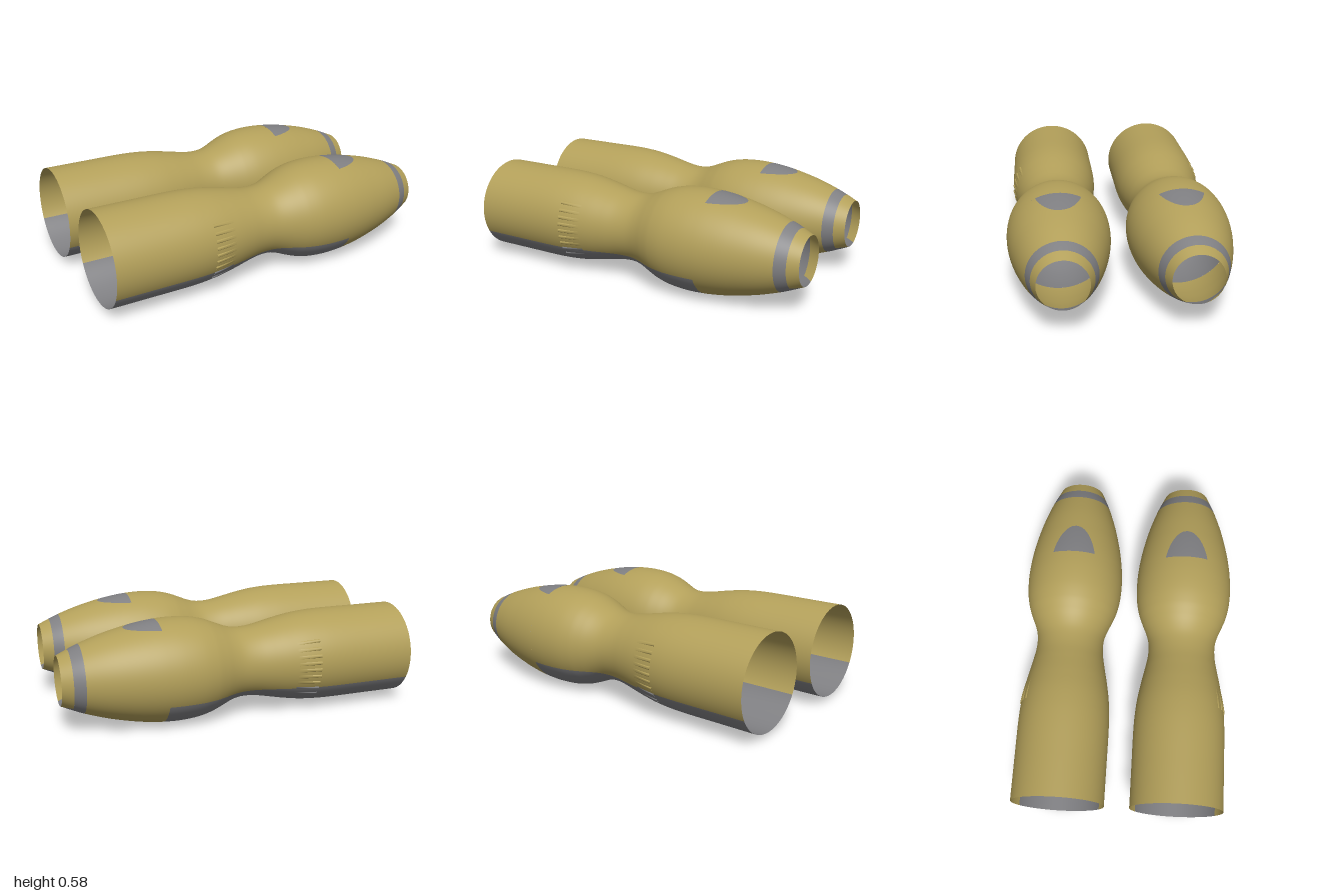
import * as THREE from 'three';

const CY = 0.295, CZ = 0.338;      // axis height and sideways offset of each shell
const BELLY = 0.13, CROWN = 0.258; // distances of the flat paint cuts from the axis

// Profile: [x, radius]
const PROFILE = [
  [-1, 0.266], [-0.75, 0.266], [-0.57, 0.266], [-0.47, 0.263], [-0.37, 0.254],
  [-0.27, 0.237], [-0.17, 0.216], [-0.1, 0.203], [-0.04, 0.199], [0.01, 0.203],
  [0.06, 0.217], [0.12, 0.242], [0.18, 0.265], [0.26, 0.283], [0.36, 0.29],
  [0.46, 0.286], [0.55, 0.275], [0.64, 0.258], [0.76, 0.228], [0.88, 0.188],
  [0.94, 0.163], [1, 0.136],
];

const slope = (i) => {
  const a = PROFILE[Math.max(0, i - 1)], b = PROFILE[Math.min(PROFILE.length - 1, i + 1)];
  return (b[1] - a[1]) / (b[0] - a[0]);
};

// Smooth radius along the axis (cubic Hermite)
function radius(x) {
  let i = 0;
  while (i < PROFILE.length - 2 && x > PROFILE[i + 1][0]) i++;
  const [x0, r0] = PROFILE[i], [x1, r1] = PROFILE[i + 1];
  const d = x1 - x0, t = (x - x0) / d, s = 1 - t;
  return r0 * (1 + 2 * t) * s * s + slope(i) * d * t * s * s
    + r1 * t * t * (3 - 2 * t) - slope(i + 1) * d * t * t * s;
}

// Angle, measured from straight up or down, at which a flat cut meets the shell
const cutAngle = (x, cut) => Math.acos(Math.min(1, cut / radius(x)));

// Patch of the shell between two x values and two angles (0 is up, PI / 2 is +z)
function patch(x0, x1, from, to, nx, nt, lift) {
  const pos = [], nor = [], idx = [];
  for (let i = 0; i <= nx; i++) {
    const x = x0 + (x1 - x0) * i / nx;
    const dr = (radius(Math.min(1, x + 0.002)) - radius(Math.max(-1, x - 0.002)))
      / (Math.min(1, x + 0.002) - Math.max(-1, x - 0.002));
    const k = Math.hypot(1, dr);
    for (let j = 0; j <= nt; j++) {
      const a = from(x) + (to(x) - from(x)) * j / nt;
      const r = radius(x) + (lift ? lift(i / nx, j / nt) : 0);
      pos.push(x, r * Math.cos(a), r * Math.sin(a));
      nor.push(-dr / k, Math.cos(a) / k, Math.sin(a) / k);
      if (i < nx && j < nt) {
        const p = i * (nt + 1) + j, q = p + nt + 1;
        idx.push(p, p + 1, q, p + 1, q + 1, q);
      }
    }
  }
  const g = new THREE.BufferGeometry();
  g.setAttribute('position', new THREE.Float32BufferAttribute(pos, 3));
  g.setAttribute('normal', new THREE.Float32BufferAttribute(nor, 3));
  g.setIndex(idx);
  if (lift) g.computeVertexNormals();
  return g;
}

export function createModel() {
  const gold = new THREE.MeshStandardMaterial({ color: 0xb3a05a, side: THREE.DoubleSide });
  gold.name = 'ochre';
  const grey = new THREE.MeshStandardMaterial({ color: 0x808083, side: THREE.DoubleSide });
  grey.name = 'grey';

  const PI = Math.PI;
  const bellyStart = (x) => PI - cutAngle(x, BELLY);
  const bellyEnd = (x) => PI + cutAngle(x, BELLY);
  const crown = (x) => cutAngle(x, CROWN);

  function shell(side) {
    const g = new THREE.Group();
    g.name = side > 0 ? 'frontShell' : 'rearShell';
    g.position.set(0, CY, side * CZ);
    const add = (name, mat, ...args) => {
      const m = new THREE.Mesh(patch(...args), mat);
      m.name = name;
      g.add(m);
    };

    // Main body with grey belly
    add('upperBody', gold, -1, 0.455, (x) => bellyEnd(x) - 2 * PI, bellyStart, 90, 72);
    add('belly', grey, -1, 0.455, bellyStart, bellyEnd, 90, 32);

    // Bulge with grey crown panel
    add('bulge', gold, 0.455, 0.64, crown, (x) => 2 * PI - crown(x), 32, 96);
    add('crownPanel', grey, 0.455, 0.64, (x) => -crown(x), crown, 32, 20);

    // Tapering nose, band and lip
    add('nose', gold, 0.64, 0.88, () => 0, () => 2 * PI, 16, 96);
    add('noseBand', grey, 0.88, 0.94, () => 0, () => 2 * PI, 5, 96);
    add('lip', gold, 0.94, 1, (x) => bellyEnd(x) - 2 * PI, bellyStart, 6, 80);
    add('lipUnderside', grey, 0.94, 1, bellyStart, bellyEnd, 6, 16);

    // Column of shallow louvres on the outer flank
    for (let i = 0; i < 9; i++) {
      const y = (i - 4) * 0.039 - 0.015;
      const up = Math.acos(y / 0.257), mid = side > 0 ? up : -up, w = 0.036;
      add('louvre', y < -BELLY ? grey : gold, -0.43, -0.3,
        () => mid - w, () => mid + w, 8, 8,
        (u, v) => 0.006 * (1 - u) * (1 - Math.pow(2 * v - 1, 4)) + 0.0003);
    }
    return g;
  }

  const model = new THREE.Group();
  model.name = 'pairedShells';
  model.add(shell(1), shell(-1));
  return model;
}
